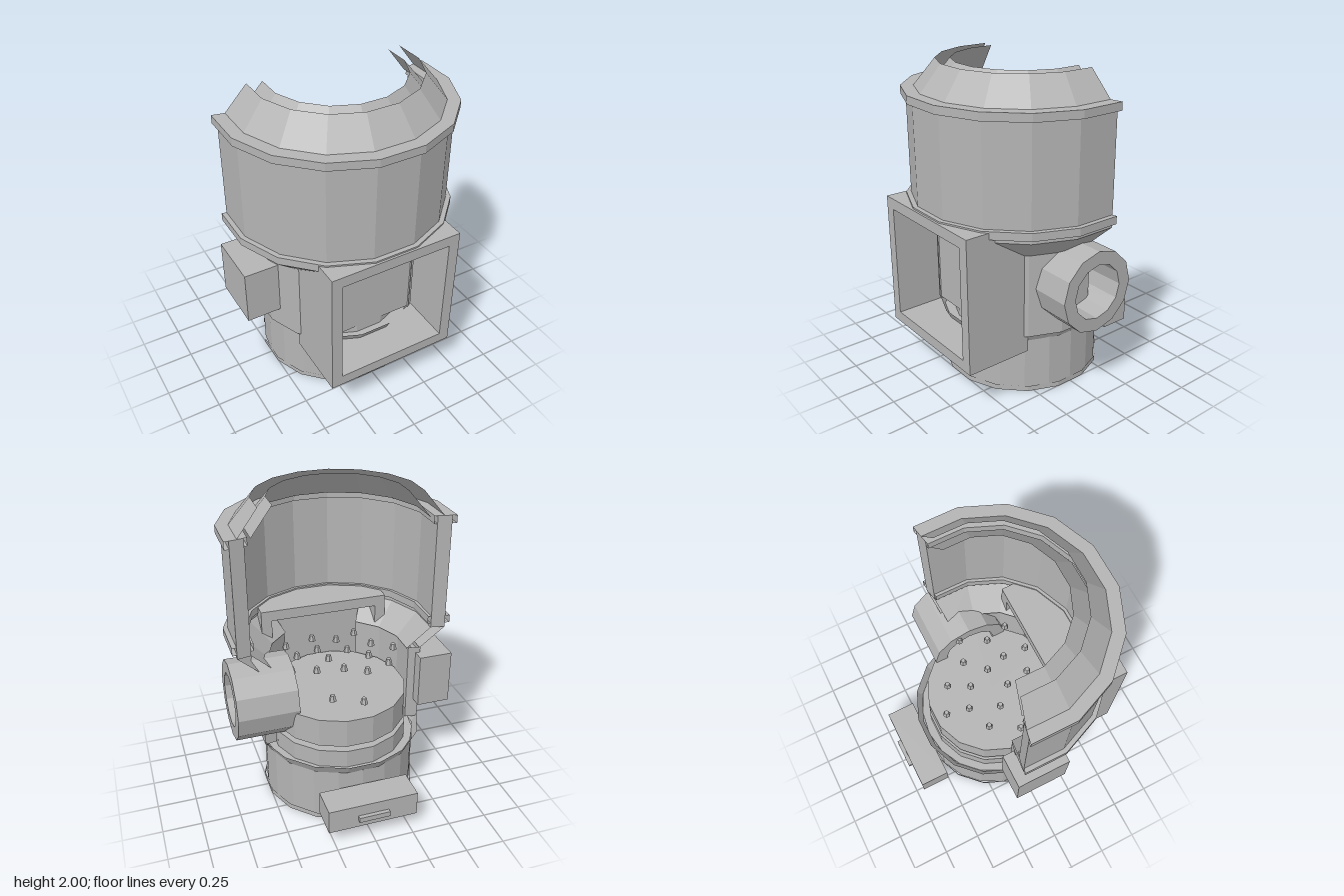
import * as THREE from 'three';

const STEP = Math.PI / 8; // one face of the sixteen-sided shells
const CUT = 4.5 * STEP;   // the cutaway edge, just behind the sides

export function createModel() {
  const model = new THREE.Group();
  model.name = 'cutawayFurnace';
  const metal = new THREE.MeshStandardMaterial({ color: 0xb4b4b4, flatShading: true, side: THREE.DoubleSide });
  metal.name = 'grey metal';

  const add = (name, geometry, x = 0, y = 0, z = 0) => {
    const mesh = new THREE.Mesh(geometry, metal);
    mesh.name = name;
    mesh.position.set(x, y, z);
    model.add(mesh);
    return mesh;
  };
  const box = (name, x0, x1, y0, y1, z0, z1) =>
    add(name, new THREE.BoxGeometry(x1 - x0, y1 - y0, z1 - z0), (x0 + x1) / 2, (y0 + y1) / 2, (z0 + z1) / 2);
  const drum = (name, top, bottom, y0, y1, sides, turn = 0, open = false) =>
    add(name, new THREE.CylinderGeometry(top, bottom, y1 - y0, sides, 1, open), 0, (y0 + y1) / 2, 0).rotation.y = turn;
  // Revolved profile of [radius, height] points over some sixteen-sided faces
  const arc = (name, points, start, faces) =>
    add(name, new THREE.LatheGeometry(points.map(p => new THREE.Vector2(...p)), faces, start, faces * STEP));
  // Flat radial plate closing the cut end of a double wall
  const cap = (name, angle, r0, r1, y0, y1) => {
    const r = (r0 + r1) / 2;
    add(name, new THREE.PlaneGeometry(r1 - r0, y1 - y0), r * Math.sin(angle), (y0 + y1) / 2, r * Math.cos(angle))
      .rotation.y = angle - Math.PI / 2;
  };

  // Base with foot ring and flared collar
  drum('base', 0.5, 0.5, 0, 0.37, 20);
  drum('footRing', 0.512, 0.512, 0, 0.035, 16, STEP / 2, true);
  drum('collar', 0.54, 0.505, 0.365, 0.43, 16, STEP / 2, true);

  // Fire bed
  drum('lowerGrate', 0.45, 0.45, 0.37, 0.49, 16, STEP / 2);
  drum('upperBed', 0.44, 0.44, 0.52, 0.71, 16, STEP / 2);

  // Lower casing and funnel, open at the front for the window
  for (const start of [-CUT, 1.5 * STEP]) {
    arc('casingOuter', [[0.54, 0.41], [0.54, 0.95]], start, 3);
    arc('casingInner', [[0.46, 0.41], [0.46, 0.95]], start, 3);
    arc('funnelOuter', [[0.535, 0.945], [0.69, 1.09]], start, 3);
    arc('funnelInner', [[0.45, 0.945], [0.6, 1.09]], start, 3);
    for (const angle of [start, start + 3 * STEP]) cap('casingEnd', angle, 0.46, 0.54, 0.41, 0.95);
  }

  // Upper double wall, flanges and dome, open at the back
  arc('wallOuter', [[0.69, 1.09], [0.69, 1.84]], -CUT, 9);
  arc('wallInner', [[0.6, 1.09], [0.6, 1.84]], -CUT, 9);
  for (const angle of [-CUT, CUT]) cap('wallEnd', angle, 0.6, 0.69, 1.09, 1.84);
  for (const y of [1.12, 1.79]) {
    arc('flange', [[0.58, y], [0.72, y], [0.72, y + 0.05], [0.58, y + 0.05], [0.58, y]], -CUT, 9);
  }
  arc('domeOuter', [[0.65, 1.83], [0.51, 2]], -CUT, 9);
  arc('domeInner', [[0.56, 1.83], [0.42, 2]], -CUT, 9);

  // Window frame and the plate behind it
  const frame = new THREE.Shape([[-0.43, 0.3], [0.43, 0.3], [0.43, 1.16], [-0.43, 1.16]].map(p => new THREE.Vector2(...p)));
  frame.holes.push(new THREE.Path([[-0.36, 0.37], [-0.36, 1.09], [0.36, 1.09], [0.36, 0.37]].map(p => new THREE.Vector2(...p))));
  add('windowFrame', new THREE.ExtrudeGeometry(frame, { depth: 0.43, bevelEnabled: false }), 0, 0, 0.29);
  add('windowPlate', new THREE.PlaneGeometry(0.64, 0.67), 0, 0.755, 0.442);

  // Side pipe
  const ring = [[0.175, -0.195], [0.26, -0.195], [0.26, 0.195], [0.175, 0.195], [0.175, -0.195]];
  const pipe = add('sidePipe', new THREE.LatheGeometry(ring.map(p => new THREE.Vector2(...p)), 12), 0.525, 0.73, 0);
  pipe.rotation.z = -Math.PI / 2;

  // Side box and ash drawer
  box('sideBox', -0.72, -0.5, 0.55, 0.91, -0.18, 0.18);
  box('ashDrawer', -0.29, 0.29, 0.105, 0.265, -0.7, -0.505);
  box('drawerHandle', -0.1, 0.1, 0.155, 0.19, -0.725, -0.7);

  // Hexagonal studs above the bed: [x, z]
  const studs = [
    [-0.05, -0.36], [0.125, -0.27], [-0.12, -0.225], [-0.285, -0.165], [0.01, -0.15], [0.18, -0.12],
    [0.33, -0.075], [-0.195, -0.04], [0.065, 0], [-0.385, 0.01], [-0.085, 0.07], [0.25, 0.09],
    [-0.265, 0.105], [0.1, 0.135], [-0.06, 0.225], [0.285, 0.24], [-0.205, 0.28], [0.09, 0.29],
  ];
  const studShape = new THREE.CylinderGeometry(0.015, 0.025, 0.04, 6);
  studs.forEach(([x, z]) => add('stud', studShape, x, z < -0.25 ? 0.79 : 0.92, z));

  return model;
}
